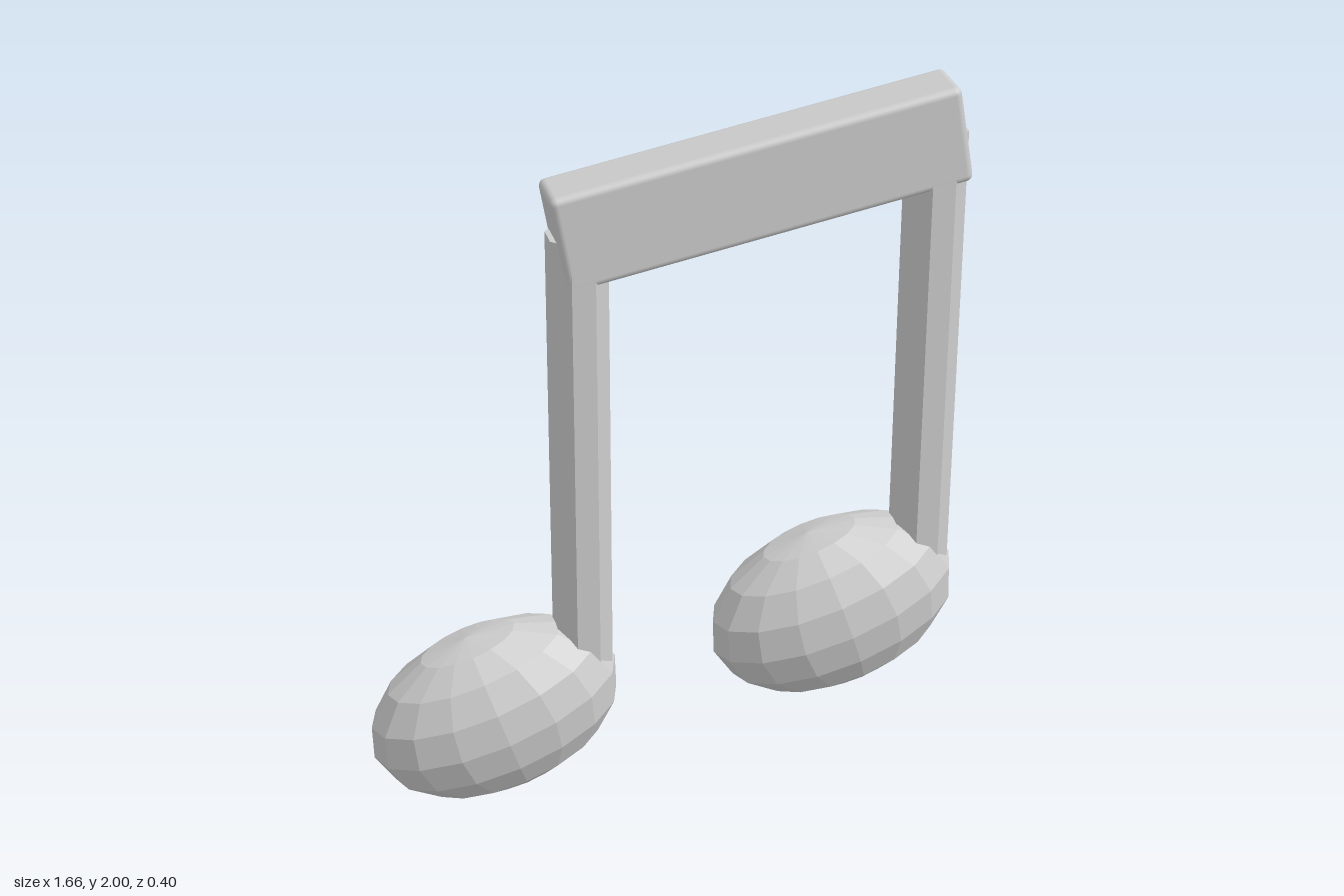
import * as THREE from 'three';
import { RoundedBoxGeometry } from 'three/addons/geometries/RoundedBoxGeometry.js';

export function createModel() {
  const model = new THREE.Group();
  model.name = 'beamedMusicNotes';

  const grey = new THREE.MeshStandardMaterial({ color: 0xcccccc });
  grey.name = 'light grey';

  const add = (name, geometry, x, y, tilt = 0) => {
    const mesh = new THREE.Mesh(geometry, grey);
    mesh.name = name;
    mesh.position.set(x, y, 0);
    mesh.rotation.z = THREE.MathUtils.degToRad(tilt);
    model.add(mesh);
  };

  // Faceted look: split every face so it gets its own normal
  const faceted = (geometry) => {
    const flat = geometry.toNonIndexed();
    flat.computeVertexNormals();
    return flat;
  };

  // Two notes, the right-hand one raised to follow the slanted beam
  const notes = [
    { side: 'right', headX: -0.485, headY: 0.265, stemX: -0.233, bottom: 0.3, top: 1.68 },
    { side: 'left', headX: 0.485, headY: 0.45, stemX: 0.733, bottom: 0.48, top: 1.86 },
  ];
  for (const n of notes) {
    // Tilted, flattened egg-shaped head
    const head = faceted(new THREE.SphereGeometry(1, 16, 8).scale(0.36, 0.249, 0.2));
    add(n.side + 'NoteHead', head, n.headX, n.headY, 18);

    // Eight-sided stem with flats facing the axes
    const height = n.top - n.bottom;
    const stem = faceted(new THREE.CylinderGeometry(0.083, 0.083, height, 8).rotateY(Math.PI / 8));
    add(n.side + 'Stem', stem, n.stemX, n.bottom + height / 2);
  }

  // Slanted beam with softly rounded edges
  add('beam', new RoundedBoxGeometry(1.105, 0.272, 0.154, 3, 0.02), 0.249, 1.773, 10);

  return model;
}
